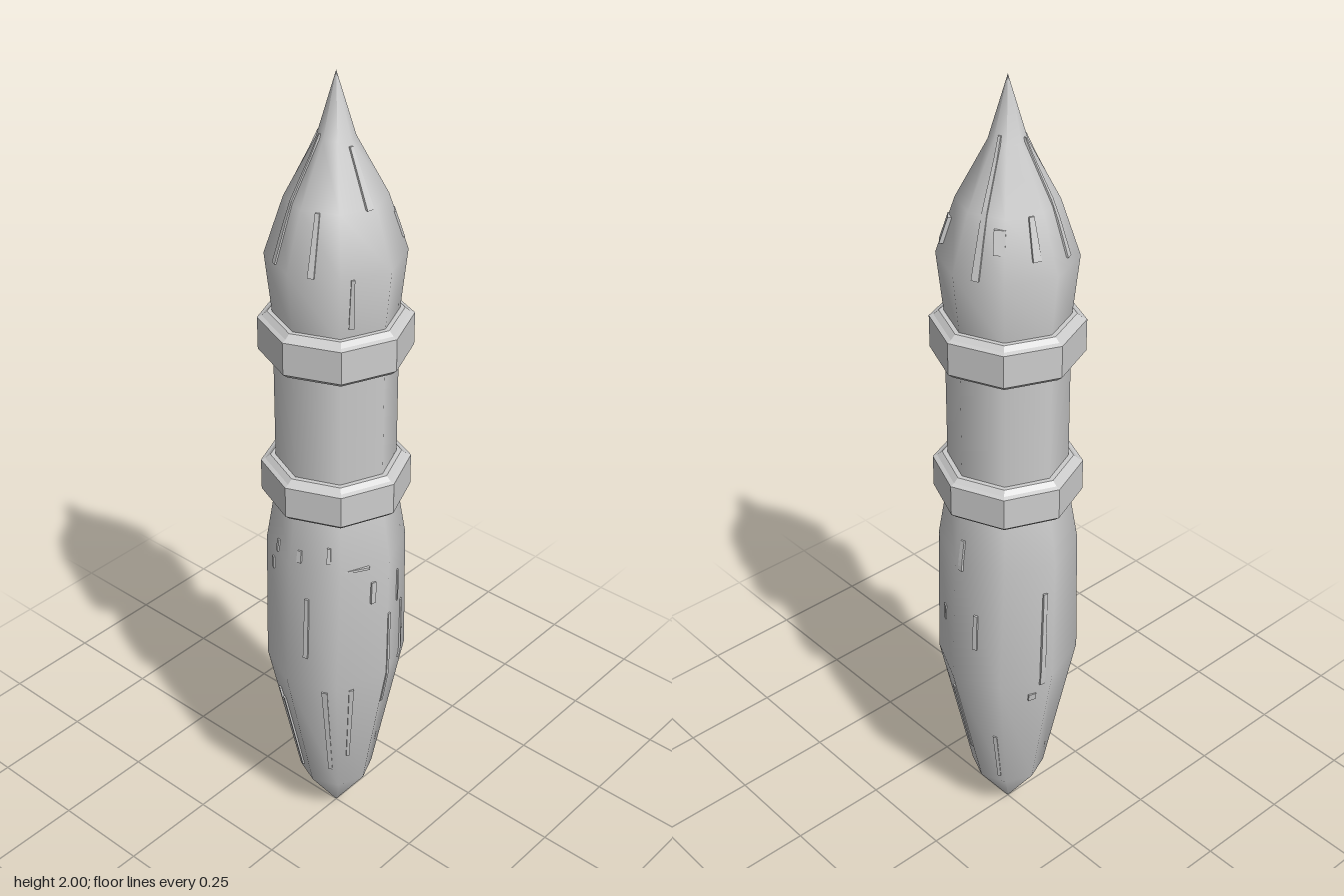
import * as THREE from 'three';

const grey = new THREE.MeshStandardMaterial({ color: 0xcccccc });
const flat = new THREE.MeshStandardMaterial({ color: 0xcccccc, flatShading: true });
const SIDES = 8;

// Section list, bottom to top: height, half width in x, half depth in z
const lower = [[0, 0, 0], [0.135, 0.092, 0.092], [0.52, 0.161, 0.18], [0.86, 0.165, 0.165], [1.0, 0.142, 0.142]];
const grip = [[1.0, 0.14, 0.14], [1.45, 0.14, 0.14]];
const head = [[1.45, 0.14, 0.14], [1.6, 0.156, 0.156], [1.73, 0.112, 0.112], [1.86, 0.042, 0.042], [2, 0, 0]];

function radii(sections, y) {
  let i = 0;
  while (i < sections.length - 2 && y > sections[i + 1][0]) i++;
  const [a, b] = [sections[i], sections[i + 1]];
  const t = (y - a[0]) / (b[0] - a[0]);
  return [a[1] + (b[1] - a[1]) * t, a[2] + (b[2] - a[2]) * t];
}

// Smooth eight-sided hull, with its depth adjusted height by height
function hull(name, sections) {
  const geo = new THREE.LatheGeometry(sections.map(([y, r]) => new THREE.Vector2(r, y)), SIDES);
  const p = geo.attributes.position;
  for (let i = 0; i < p.count; i++) {
    const [rx, rz] = radii(sections, p.getY(i));
    if (rx > 0) p.setZ(i, p.getZ(i) * rz / rx);
  }
  const mesh = new THREE.Mesh(geo, grey);
  mesh.name = name;
  return mesh;
}

// Angular band with bevelled edges
function band(name, y) {
  const pts = [[0.138, 0], [0.16, 0], [0.174, 0.012], [0.174, 0.09], [0.164, 0.094], [0.152, 0.104], [0.138, 0.104]];
  const geo = new THREE.LatheGeometry(pts.map(([r, h]) => new THREE.Vector2(r, y + h)), SIDES);
  const mesh = new THREE.Mesh(geo, flat);
  mesh.name = name;
  return mesh;
}

// Tapered splinter that follows the hull surface; lean is the sideways drift of its top
function splinter(sections, [deg, y0, y1, w0, w1, lean = 0]) {
  const geo = new THREE.BoxGeometry(1, 1, 1, 1, 6, 1);
  const p = geo.attributes.position;
  const angle = THREE.MathUtils.degToRad(deg);
  const step = Math.PI * 2 / SIDES;
  for (let i = 0; i < p.count; i++) {
    const t = p.getY(i) + 0.5;
    const y = y0 + (y1 - y0) * t;
    const [rx, rz] = radii(sections, y);
    const local = ((angle % step) + step) % step - step / 2;
    const k = Math.cos(step / 2) / Math.cos(local);
    const out = p.getZ(i) > 0 ? 0.004 : -0.012;
    const side = p.getX(i) * (w0 + (w1 - w0) * t) + lean * t;
    const s = Math.sin(angle), c = Math.cos(angle);
    p.setXYZ(i, s * (rx * k + out) + c * side, y, c * (rz * k + out) - s * side);
  }
  const mesh = new THREE.Mesh(geo, flat);
  mesh.name = 'splinter';
  return mesh;
}

// Each splinter: angle from the front, bottom, top, bottom width, top width, lean
const headSplinters = [
  [-160, 1.6, 1.88, 0.018, 0.006], [-65, 1.62, 1.87, 0.016, 0.004], [-23, 1.6, 1.87, 0.014, 0.004],
  [82, 1.73, 1.85, 0.018, 0.008], [-105, 1.64, 1.73, 0.02, 0.012], [20, 1.6, 1.73, 0.015, 0.01],
  [138, 1.63, 1.69, 0.03, 0.028], [55, 1.48, 1.6, 0.012, 0.008], [-140, 1.66, 1.71, 0.025, 0.025],
];
const bodySplinters = [
  [16, 0.6, 0.77, 0.012, 0.01], [34, 0.2, 0.5, 0.01, 0.014], [58, 0.25, 0.5, 0.008, 0.012],
  [-27, 0.16, 0.4, 0.008, 0.01], [-35, 0.38, 0.42, 0.012, 0.01], [-30, 0.8, 0.83, 0.012, 0.01],
  [-22, 0.86, 0.89, 0.01, 0.008], [8, 0.87, 0.9, 0.012, 0.01], [35, 0.88, 0.92, 0.01, 0.008],
  [60, 0.855, 0.861, 0.06, 0.06], [76, 0.75, 0.81, 0.014, 0.012], [112, 0.7, 0.79, 0.008, 0.006],
  [92, 0.42, 0.7, 0.008, 0.008], [123, 0.5, 0.68, 0.012, 0.01], [157, 0.65, 0.69, 0.014, 0.014],
  [200, 0.62, 0.72, 0.012, 0.01], [262, 0.5, 0.78, 0.014, 0.01], [254, 0.45, 0.47, 0.02, 0.02],
  [178, 0.25, 0.48, 0.008, 0.01], [215, 0.16, 0.32, 0.008, 0.01], [185, 0.84, 0.92, 0.012, 0.01],
];

export function createModel() {
  const model = new THREE.Group();
  model.name = 'woodenStake';
  model.add(hull('taperedLowerBody', lower), hull('grip', grip), hull('pointedHead', head));
  model.add(band('lowerBand', 0.985), band('upperBand', 1.355));

  const chips = new THREE.Group();
  chips.name = 'splinters';
  headSplinters.forEach((s) => chips.add(splinter(head, s)));
  bodySplinters.forEach((s) => chips.add(splinter(lower, s)));
  model.add(chips);
  return model;
}
